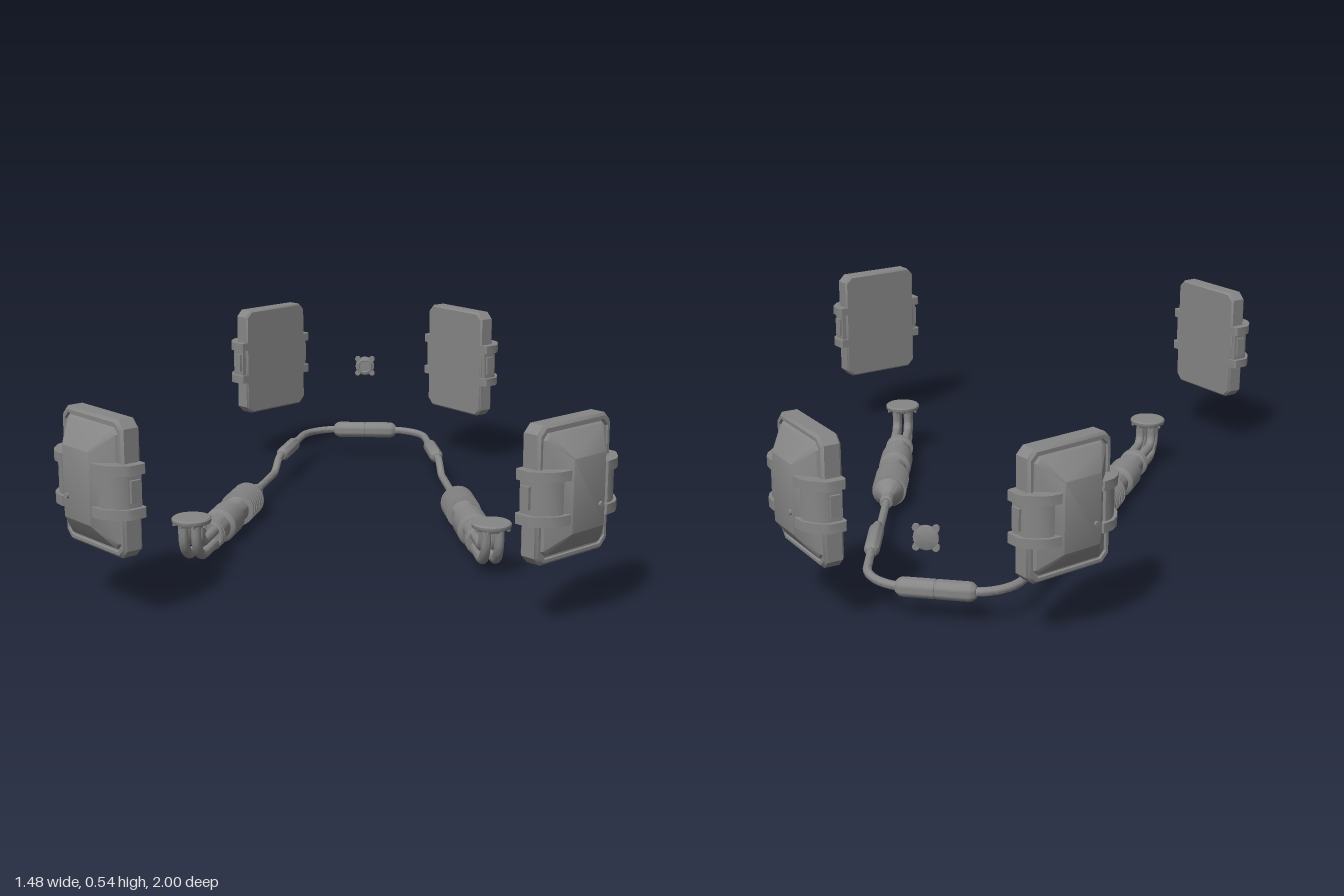
import * as THREE from 'three';
import { toCreasedNormals } from 'three/addons/utils/BufferGeometryUtils.js';

const darkGrey = new THREE.MeshStandardMaterial({ color: 0x868686 });
const V = (x, y, z) => new THREE.Vector3(x, y, z);

function add(parent, name, geometry, x = 0, y = 0, z = 0) {
  const mesh = new THREE.Mesh(toCreasedNormals(geometry, 0.6), darkGrey);
  mesh.name = name;
  mesh.position.set(x, y, z);
  parent.add(mesh);
  return mesh;
}

// Solid through chamfered rectangles [halfWidth, halfHeight, chamfer, z], back to front
function loft(levels) {
  const pos = [], idx = [];
  for (const [w, h, c, z] of levels) {
    const ring = [[w, c - h], [w, h - c], [w - c, h], [c - w, h], [-w, h - c], [-w, c - h], [c - w, -h], [w - c, -h]];
    for (const [x, y] of ring) pos.push(x, y, z);
  }
  for (let l = 0; l < levels.length - 1; l++) {
    for (let i = 0; i < 8; i++) {
      const a = l * 8 + i, b = l * 8 + (i + 1) % 8;
      idx.push(a, b, b + 8, a, b + 8, a + 8);
    }
  }
  const top = (levels.length - 1) * 8;
  for (let i = 1; i < 7; i++) idx.push(0, i + 1, i, top, top + i, top + i + 1);
  const g = new THREE.BufferGeometry();
  g.setAttribute('position', new THREE.Float32BufferAttribute(pos, 3));
  g.setIndex(idx);
  return g;
}

// Turned solid along -z from [radius, distance] pairs
function turned(points, sides = 28) {
  return new THREE.LatheGeometry(points.map(([r, s]) => new THREE.Vector2(r, s)), sides).rotateX(-Math.PI / 2);
}

// Strap section in the x-z plane, extruded vertically about its middle
function strap(points, height) {
  const shape = new THREE.Shape(points.map(([x, y]) => new THREE.Vector2(x, y)));
  return new THREE.ExtrudeGeometry(shape, { depth: height, bevelEnabled: false })
    .translate(0, 0, -height / 2).rotateX(Math.PI / 2);
}

// Polyline with rounded corners; each corner carries its own rounding length
function roundedPath(points, radii) {
  const path = new THREE.CurvePath();
  let last = points[0];
  for (let i = 1; i < points.length - 1; i++) {
    const p = points[i];
    const a = p.clone().add(points[i - 1].clone().sub(p).setLength(radii[i - 1]));
    const b = p.clone().add(points[i + 1].clone().sub(p).setLength(radii[i - 1]));
    // handles at 0.55 of the rounding length approximate an arc
    path.add(new THREE.LineCurve3(last, a));
    path.add(new THREE.CubicBezierCurve3(a, a.clone().lerp(p, 0.55), b.clone().lerp(p, 0.55), b));
    last = b;
  }
  path.add(new THREE.LineCurve3(last, points[points.length - 1]));
  return path;
}

// Armoured case with a bevelled outer face and clamps on both sides
function makeCase(knobSide) {
  const g = new THREE.Group();
  add(g, 'caseBody', loft([
    [0.134, 0.178, 0.02, 0], [0.139, 0.1835, 0.022, 0.006], [0.139, 0.1835, 0.022, 0.05],
    [0.132, 0.176, 0.02, 0.058], [0.124, 0.168, 0.018, 0.058], [0.122, 0.166, 0.018, 0.052],
    [0.118, 0.162, 0.016, 0.052], [0.114, 0.158, 0.014, 0.06],
    [0.061, 0.098, 0.002, 0.108],
  ]));
  add(g, 'knob', new THREE.CylinderGeometry(0.008, 0.008, 0.008, 14).rotateX(Math.PI / 2), knobSide * 0.045, -0.038, 0.11);
  for (const s of [-1, 1]) {
    const flip = (pts) => pts.map(([x, z]) => [s * x, z]);
    const bar = flip([[0.064, 0.095], [0.07, 0.109], [0.105, 0.105], [0.13, 0.091], [0.158, 0.062], [0.165, 0.05],
      [0.165, 0.006], [0.158, 0], [0.134, 0], [0.134, 0.045], [0.108, 0.06]]);
    for (const y of [-0.058, 0.058]) add(g, 'clampBar', strap(bar, 0.027), 0, y, 0);
    const plate = flip([[0.08, 0.085], [0.085, 0.097], [0.104, 0.095], [0.126, 0.082], [0.15, 0.058],
      [0.152, 0.05], [0.152, 0.008], [0.134, 0.008], [0.134, 0.045], [0.1, 0.06]]);
    add(g, 'clampPlate', strap(plate, 0.092));
    add(g, 'clampLatch', new THREE.BoxGeometry(0.012, 0.06, 0.03), s * 0.154, 0, 0.03);
  }
  return g;
}

// Exhaust arm: inlet flange, four bent pipes, couplings, bellows and cone
function makeArm() {
  const g = new THREE.Group();
  const flange = add(g, 'inletFlange', turned([[0, 0], [0.039, 0], [0.043, 0.008], [0.055, 0.01], [0.057, 0.014],
    [0.057, 0.021], [0.053, 0.025], [0, 0.025]]), 0, 0.08, 0);
  flange.rotation.x = Math.PI / 2;
  for (let i = 0; i < 8; i++) {
    const a = (i + 0.5) * Math.PI / 4;
    add(g, 'flangeBolt', new THREE.CylinderGeometry(0.005, 0.005, 0.01, 6), 0.049 * Math.cos(a), 0.086, 0.049 * Math.sin(a));
  }
  for (const a of [-0.019, 0.019]) {
    for (const b of [-0.019, 0.019]) {
      const path = roundedPath([V(a, 0.092, b), V(a, -b, b), V(a, -b, -0.17)], [0.055 + b]);
      add(g, 'inletPipe', new THREE.TubeGeometry(path, 28, 0.0145, 12));
    }
  }
  const bellows = [];
  for (let i = 0; i < 7; i++) {
    const s = 0.448 + i * 0.019;
    bellows.push([0.04, s], [0.054, s + 0.003], [0.054, s + 0.01], [0.04, s + 0.013]);
  }
  add(g, 'pipeBody', turned([
    [0, 0.153], [0.041, 0.153], [0.046, 0.158], [0.046, 0.166], [0.041, 0.168], [0.041, 0.172], [0.046, 0.174],
    [0.046, 0.18], [0.038, 0.186], [0.038, 0.255], [0.047, 0.258], [0.052, 0.264], [0.052, 0.358], [0.047, 0.364],
    [0.038, 0.368], [0.038, 0.445], ...bellows,
    [0.045, 0.578], [0.047, 0.582], [0.047, 0.592], [0.021, 0.632], [0.021, 0.678], [0.017, 0.683], [0, 0.683],
  ]));
  return g;
}

// Closed canister with tapered ends, centred on its axis; seam is the radius at mid length
function canister(r, length, seam) {
  const h = length / 2;
  return turned([[0, -h], [r * 0.62, -h], [r * 0.9, -h + 0.009], [r, -h + 0.018], [r, -0.003], [seam, -0.001],
    [seam, 0.001], [r, 0.003], [r, h - 0.018], [r * 0.9, h - 0.009], [r * 0.62, h], [0, h]], 24);
}

export function createModel() {
  const model = new THREE.Group();
  model.name = 'exhaustSet';
  const tilt = 0.162;

  // Four cases: position, outward normal, knob side
  const cases = [
    ['frontLeftCase', 0.583, 0.846, 0.707, 0.707, 1],
    ['frontRightCase', -0.583, 0.846, -0.707, 0.707, -1],
    ['backLeftCase', 0.318, -0.83, 0.747, -0.666, 1],
    ['backRightCase', -0.318, -0.83, -0.747, -0.666, 1],
  ];
  for (const [name, x, z, nx, nz, knob] of cases) {
    const c = makeCase(knob);
    c.name = name;
    c.position.set(x, 0.3625, z);
    c.rotation.y = Math.atan2(nx, nz);
    model.add(c);
  }

  // Exhaust arms and their side canisters
  for (const s of [-1, 1]) {
    const arm = makeArm();
    arm.name = s > 0 ? 'leftArm' : 'rightArm';
    arm.position.set(s * 0.425, 0.058, 0.52);
    arm.rotation.y = s * tilt;
    model.add(arm);
    add(model, 'sideCanister', canister(0.0225, 0.178, 0.0225), s * 0.25, 0.098, -0.545).rotation.y = s * tilt;
  }

  // Thin pipe joining both arms around the back
  const half = [V(0.317, 0.058, -0.14), V(0.28, 0.058, -0.373), V(0.271, 0.098, -0.425), V(0.2, 0.098, -0.85)];
  const points = [...half, ...half.map((p) => V(-p.x, p.y, p.z)).reverse()];
  const link = roundedPath(points, [0.015, 0.015, 0.11, 0.11, 0.015, 0.015]);
  add(model, 'linkPipe', new THREE.TubeGeometry(link, 260, 0.0125, 12));

  // Centre canister with a fine seam in the middle
  add(model, 'centreCanister', canister(0.0275, 0.22, 0.0255), 0, 0.098, -0.85).rotation.y = Math.PI / 2;

  // Small rear fitting: raised front ring, wider back disc and four lugs
  const fitting = new THREE.Group();
  fitting.name = 'rearFitting';
  fitting.position.set(-0.008, 0.305, -0.98);
  add(fitting, 'fittingDisc', turned([[0, 0.006], [0.019, 0.006], [0.021, 0], [0.026, 0], [0.028, 0.008],
    [0.034, 0.012], [0.034, 0.018], [0.03, 0.02], [0, 0.02]], 24));
  for (let i = 0; i < 4; i++) {
    const a = Math.PI / 4 + i * Math.PI / 2;
    add(fitting, 'fittingLug', new THREE.CylinderGeometry(0.01, 0.01, 0.01, 12).rotateX(Math.PI / 2),
      0.037 * Math.cos(a), 0.037 * Math.sin(a), -0.014);
  }
  model.add(fitting);
  return model;
}
